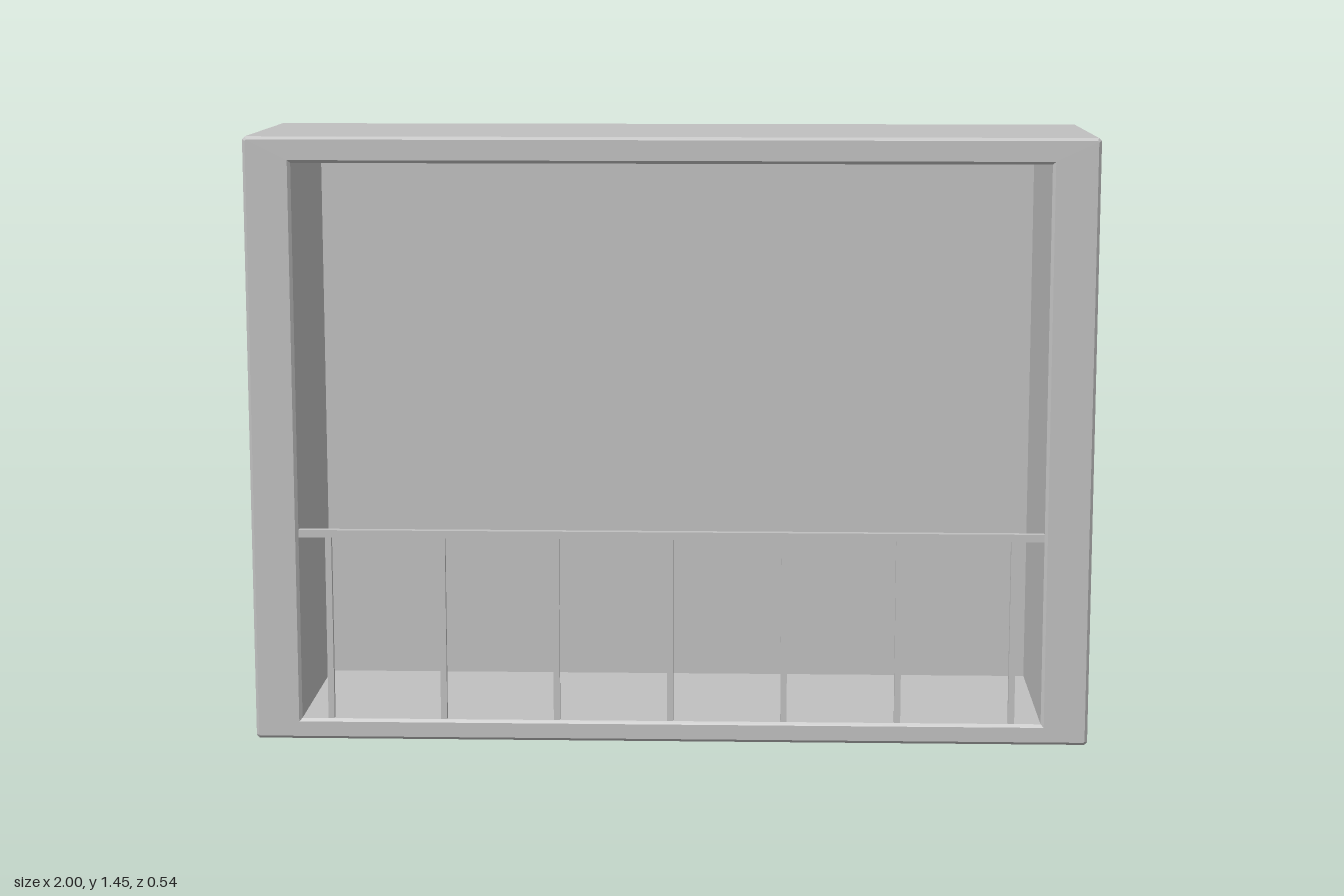
import * as THREE from 'three';

const W = 2, H = 1.45, D = 0.54, BEVEL = 0.007;
const OPEN_X = 0.888, OPEN_LOW = 0.05, OPEN_TOP = 1.388;

export function createModel() {
  const model = new THREE.Group();
  model.name = 'balconyBay';
  const grey = new THREE.MeshStandardMaterial({ color: 0xc0c0c0 });
  grey.name = 'concrete grey';

  const add = (name, geometry, x = 0, y = 0, z = 0, parent = model) => {
    const mesh = new THREE.Mesh(geometry, grey);
    mesh.name = name;
    mesh.position.set(x, y, z);
    parent.add(mesh);
    return mesh;
  };

  // Surrounding shell: chamfered block with a rectangular opening through it
  const x = W / 2, c = BEVEL;
  const outline = new THREE.Shape([
    [-x + c, 0], [x - c, 0], [x, c], [x, H - c],
    [x - c, H], [-x + c, H], [-x, H - c], [-x, c],
  ].map(p => new THREE.Vector2(...p)));
  outline.holes.push(new THREE.Path([
    [-OPEN_X, OPEN_LOW], [-OPEN_X, OPEN_TOP], [OPEN_X, OPEN_TOP], [OPEN_X, OPEN_LOW],
  ].map(p => new THREE.Vector2(...p))));
  const shell = new THREE.ExtrudeGeometry(outline, {
    depth: D - 2 * BEVEL, bevelEnabled: true, bevelSize: BEVEL,
    bevelThickness: BEVEL, bevelOffset: -BEVEL, bevelSegments: 1,
  });
  add('shell', shell, 0, 0, -D / 2 + BEVEL);

  // Rear wall, set slightly in from the back
  add('rearWall', new THREE.BoxGeometry(2 * OPEN_X, OPEN_TOP - OPEN_LOW, 0.053),
    0, (OPEN_TOP + OPEN_LOW) / 2, -0.2225);

  // Railing across the front of the opening
  const railing = new THREE.Group();
  railing.name = 'railing';
  model.add(railing);
  const railZ = 0.255, railLow = 0.495;
  add('handrail', new THREE.BoxGeometry(2 * OPEN_X, 0.018, 0.018), 0, railLow + 0.009, railZ, railing);
  const post = new THREE.BoxGeometry(0.015, railLow - OPEN_LOW, 0.015);
  for (let i = -3; i <= 3; i++) {
    add('railingPost', post, i * 0.2725, (railLow + OPEN_LOW) / 2, railZ, railing);
  }
  return model;
}
